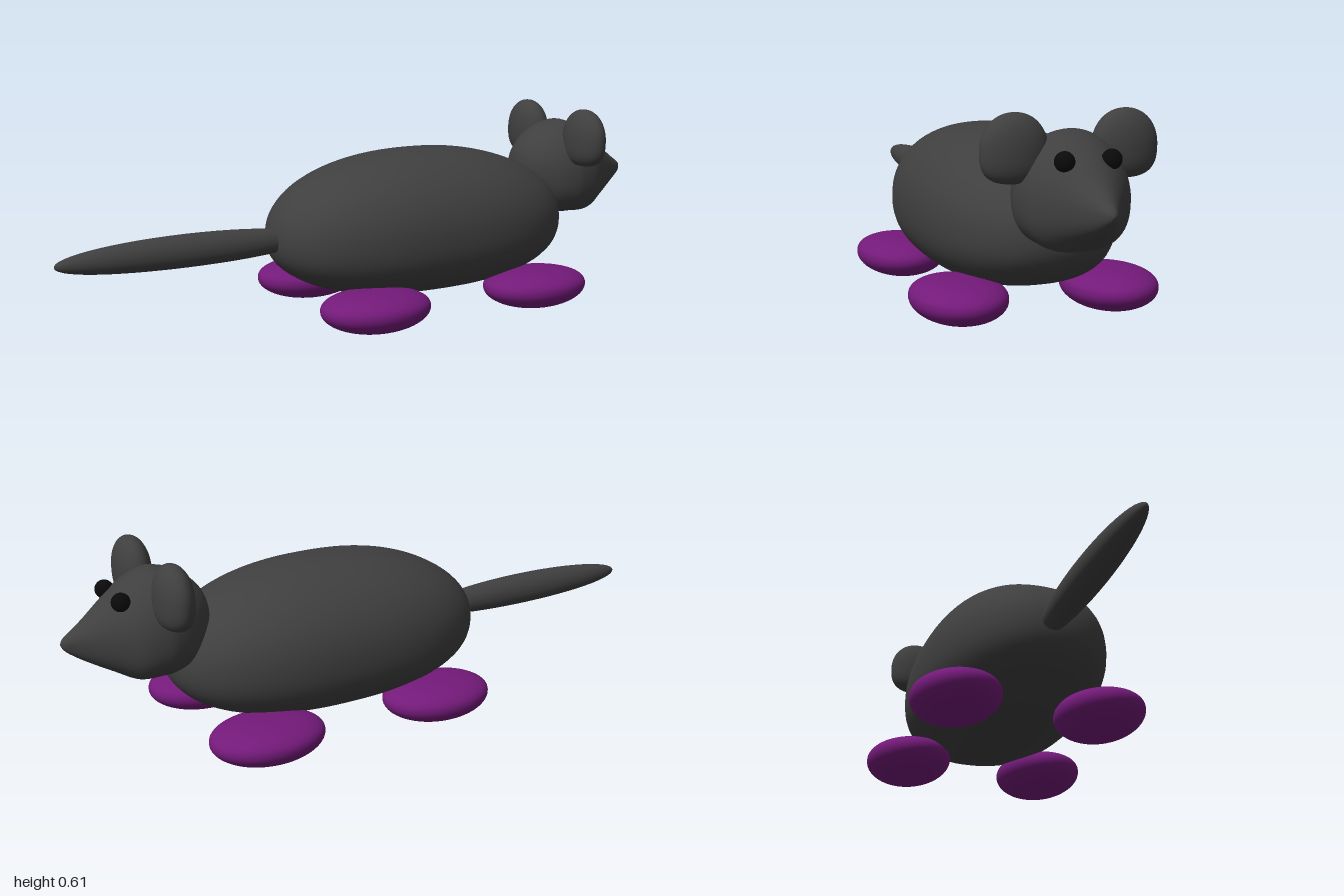
import * as THREE from 'three';
import { mergeVertices } from 'three/addons/utils/BufferGeometryUtils.js';

const fur = new THREE.MeshStandardMaterial({ color: 0x3f3f3f });
const paw = new THREE.MeshStandardMaterial({ color: 0x741a7a });
const black = new THREE.MeshStandardMaterial({ color: 0x0a0a0a });

// Weld the sphere seam so the shading stays smooth
function smooth(geo) {
  geo.deleteAttribute('uv');
  geo.deleteAttribute('normal');
  const welded = mergeVertices(geo, 1e-5);
  welded.computeVertexNormals();
  return welded;
}

function addMesh(group, name, geo, material) {
  const mesh = new THREE.Mesh(geo, material);
  mesh.name = name;
  group.add(mesh);
  return mesh;
}

// Rounded blob: different height and squareness above and below its widest level
function blob({ rx, up, down, rz, plan = 2, top = 2, bottom = 2 }) {
  const geo = new THREE.SphereGeometry(1, 64, 48);
  const p = geo.attributes.position;
  for (let i = 0; i < p.count; i++) {
    const x = p.getX(i), y = p.getY(i), z = p.getZ(i);
    const m = y > 0 ? top : bottom;
    const flat = Math.pow(Math.abs(x) ** plan + Math.abs(z) ** plan, 1 / plan);
    const r = Math.pow(flat ** m + Math.abs(y) ** m, -1 / m);
    p.setXYZ(i, x * r * rx, y * r * (y > 0 ? up : down), z * r * rz);
  }
  return smooth(geo);
}

// Head: cross-sections from the back of the skull to the nose tip
function headGeometry() {
  // x, centre height, up, down, half width
  const rows = [
    [0.565, 0.41, 0, 0, 0], [0.575, 0.41, 0.05, 0.05, 0.055],
    [0.6, 0.405, 0.095, 0.09, 0.095], [0.65, 0.395, 0.145, 0.125, 0.135],
    [0.7, 0.39, 0.168, 0.138, 0.153], [0.74, 0.385, 0.175, 0.135, 0.155],
    [0.8, 0.38, 0.155, 0.13, 0.14], [0.86, 0.38, 0.112, 0.1, 0.1],
    [0.92, 0.38, 0.065, 0.067, 0.058], [0.96, 0.38, 0.036, 0.042, 0.032],
    [0.988, 0.38, 0.017, 0.02, 0.016], [1, 0.38, 0, 0, 0],
  ];
  const spline = (f) => new THREE.CatmullRomCurve3(
    rows.map((r) => new THREE.Vector3(...f(r))), false, 'catmullrom', 0.5);
  const spine = spline((r) => [r[0], r[1], r[4]]);
  const heights = spline((r) => [r[2], r[3], 0]);

  const geo = new THREE.SphereGeometry(1, 64, 66);
  const p = geo.attributes.position, uv = geo.attributes.uv;
  for (let i = 0; i < p.count; i++) {
    const t = uv.getY(i), a = uv.getX(i) * Math.PI * 2;
    const s = spine.getPoint(t), h = heights.getPoint(t);
    const sy = Math.sin(a), sz = -Math.cos(a);
    const m = sy > 0 ? 2 : 2.6;
    const r = Math.pow(Math.abs(sy) ** m + Math.abs(sz) ** m, -1 / m);
    p.setXYZ(i, s.x, s.y + sy * r * (sy > 0 ? h.x : h.y), sz * r * s.z);
  }
  return smooth(geo);
}

export function createModel() {
  const model = new THREE.Group();
  model.name = 'mouse';

  // Body and tail
  addMesh(model, 'body', blob({
    rx: 0.508, up: 0.25, down: 0.198, rz: 0.285, plan: 2.35, top: 2.1, bottom: 2.4,
  }), fur).position.set(0.178, 0.255, 0);
  addMesh(model, 'tail', blob({
    rx: 0.4, up: 0.053, down: 0.045, rz: 0.05, bottom: 2.2,
  }), fur).position.set(-0.6, 0.255, 0);

  // Head
  addMesh(model, 'head', headGeometry(), fur);

  // Ears, eyes and feet, mirrored across the z axis
  const ear = blob({ rx: 0.052, up: 0.1, down: 0.085, rz: 0.093, top: 2.1, bottom: 2.8 });
  const eye = new THREE.SphereGeometry(0.027, 32, 20);
  const foot = blob({ rx: 0.175, up: 0.053, down: 0.07, rz: 0.136, top: 2.4, bottom: 2 });
  for (const [side, s] of [['near', 1], ['far', -1]]) {
    addMesh(model, side + 'Ear', ear, fur).position.set(0.722, 0.51, s * 0.156);
    addMesh(model, side + 'Eye', eye, black).position.set(0.84, 0.495, s * 0.065);
    addMesh(model, side + 'FrontFoot', foot, paw).position.set(0.485, 0.07, s * 0.228);
    addMesh(model, side + 'BackFoot', foot, paw).position.set(-0.097, 0.07, s * 0.228);
  }
  return model;
}
